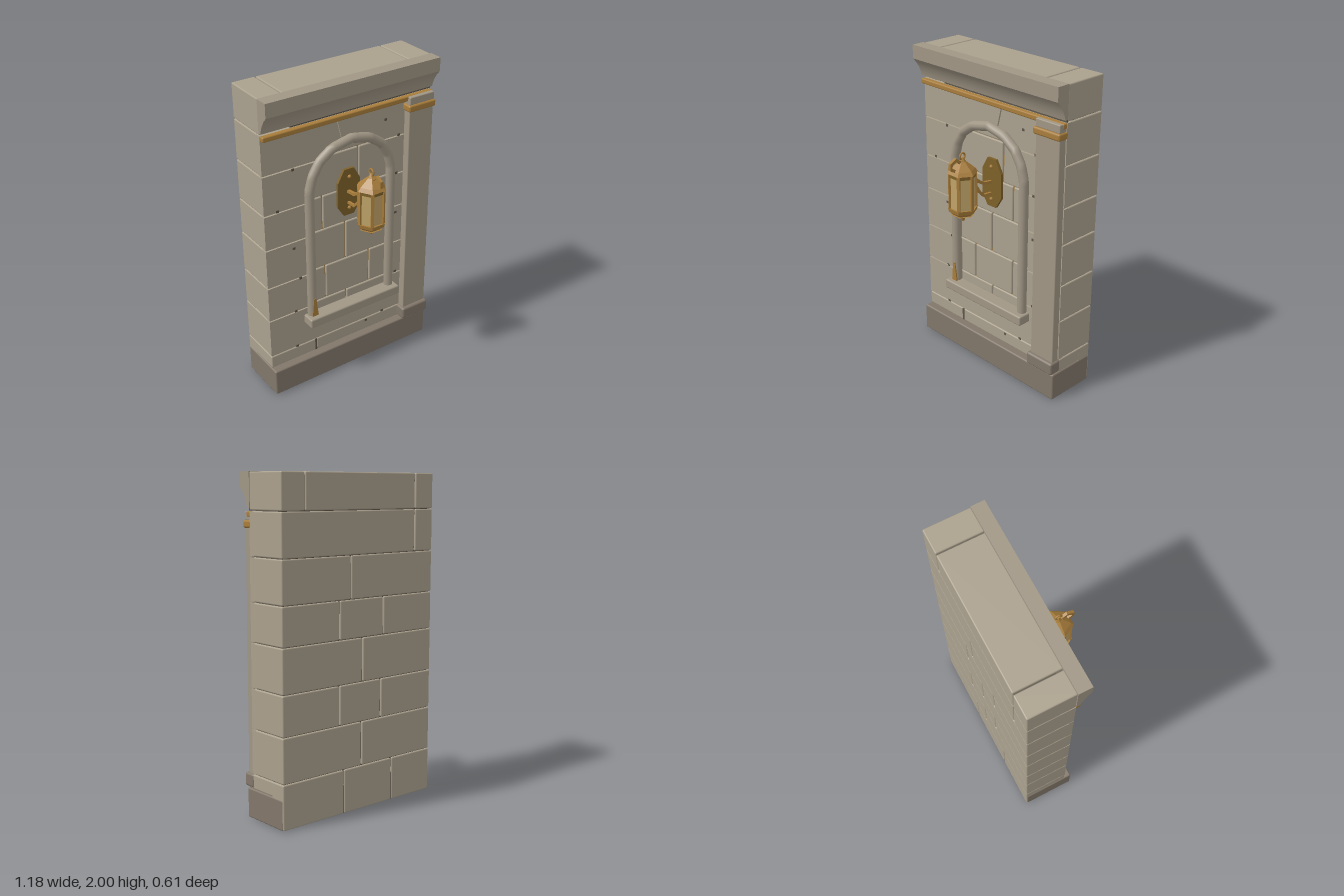
import * as THREE from 'three';
import { RoundedBoxGeometry } from 'three/addons/geometries/RoundedBoxGeometry.js';
import { toCreasedNormals } from 'three/addons/utils/BufferGeometryUtils.js';

const material = (name, color) => {
  const m = new THREE.MeshStandardMaterial({ color });
  m.name = name;
  return m;
};

export function createModel() {
  const stone = material('stone', 0xaaa08d);
  const trim = material('trim stone', 0xa09685);
  const plinthStone = material('plinth stone', 0x82776a);
  const mortar = material('mortar', 0x5d554a);
  const brass = material('brass', 0xa87d3b);
  const darkBrass = material('dark brass', 0x7d6029);
  const glass = material('amber glass', 0xc0a368);

  const model = new THREE.Group();
  model.name = 'wallNiche';
  const L = -0.59, R = 0.585, BACK = -0.305, FACE = -0.018, NICHE = -0.04;

  const add = (name, geo, mat, parent = model) => {
    const mesh = new THREE.Mesh(geo, mat);
    mesh.name = name;
    parent.add(mesh);
    return mesh;
  };
  // Rounded block given by its bounds
  const block = (name, x0, x1, y0, y1, z0, z1, mat, r = 0.007, parent = model) => {
    const g = new RoundedBoxGeometry(x1 - x0, y1 - y0, z1 - z0, 2, r);
    g.translate((x0 + x1) / 2, (y0 + y1) / 2, (z0 + z1) / 2);
    return add(name, g, mat, parent);
  };
  const box = (name, x0, x1, y0, y1, z0, z1, mat, parent = model) => {
    const g = new THREE.BoxGeometry(x1 - x0, y1 - y0, z1 - z0);
    g.translate((x0 + x1) / 2, (y0 + y1) / 2, (z0 + z1) / 2);
    return add(name, g, mat, parent);
  };
  const shapeOf = (pts) => new THREE.Shape(pts.map(([x, y]) => new THREE.Vector2(x, y)));
  const slab = (name, pts, z0, z1, mat, parent = model) => {
    const g = new THREE.ExtrudeGeometry(shapeOf(pts), { depth: z1 - z0, bevelEnabled: false });
    g.translate(0, 0, z0);
    return add(name, g, mat, parent);
  };

  // Masonry running through the wall: [bottom, top, joint positions]
  const rows = [
    [0.27, 0.54, [-0.01]],
    [0.54, 0.78, [-0.165, 0.165]],
    [0.78, 1.045, [-0.015]],
    [1.045, 1.275, [-0.18, 0.165]],
    [1.275, 1.53, [0.08]],
    [1.53, 1.785, [-0.44]],
  ];
  const wall = new THREE.Group();
  wall.name = 'masonry';
  model.add(wall);
  const course = (y0, y1, joints, z0, z1) => {
    const xs = [L, ...joints, R];
    for (let i = 0; i < xs.length - 1; i++) {
      const a = xs[i] + (i ? 0.004 : 0);
      const b = xs[i + 1] - (i < xs.length - 2 ? 0.004 : 0);
      block('wallBlock', a, b, y0 + 0.002, y1 - 0.002, z0, z1, stone, 0.008, wall);
    }
  };
  for (const [y0, y1, joints] of rows) course(y0, y1, joints, BACK, NICHE);
  course(0, 0.27, [-0.26, 0.13], BACK, -0.2);
  course(0.18, 0.27, [-0.26], -0.21, FACE);
  course(1.785, 2, [-0.44, 0.42], BACK, FACE);
  box('mortarCore', L + 0.012, R - 0.012, 0.02, 1.98, BACK + 0.012, NICHE - 0.02, mortar, wall);
  box('nicheBacking', -0.3, 0.3, 0.48, 1.6, NICHE - 0.02, NICHE - 0.012, brass, wall);

  // Front facing, cut away around the arched niche
  const arch = [[0.29, 0.45], [0.29, 1.36], [0.265, 1.45], [0.215, 1.53], [0.13, 1.59], [0, 1.615]];
  const halfWidth = (y) => {
    if (y < 0.45 || y > 1.615) return 0;
    const i = arch.findIndex((p) => p[1] >= y);
    if (i < 1) return arch[0][0];
    const [a, b] = [arch[i - 1], arch[i]];
    return a[0] + ((b[0] - a[0]) * (y - a[1])) / (b[1] - a[1]);
  };
  for (const [y0, y1] of rows) {
    const lo = y0 + 0.004, hi = y1 - 0.004;
    const cuts = [lo, 0.4499, 0.4501, 1.36, 1.45, 1.53, 1.59, 1.615, hi]
      .filter((y) => y >= lo && y <= hi);
    const left = cuts.map((y) => [-halfWidth(y), y]);
    const right = cuts.map((y) => [halfWidth(y), y]).reverse();
    slab('facingLeft', [[L, hi], [L, lo], ...left], NICHE - 0.015, FACE, stone, wall);
    slab('facingRight', [[R, lo], [R, hi], ...right], NICHE - 0.015, FACE, stone, wall);
  }

  // Small chipped corners along the facing joints
  const chips = [[-0.5, 1.285], [-0.4, 1.0], [-0.36, 0.775], [-0.4, 0.545], [0.35, 1.28], [0.35, 1.0],
    [0.36, 0.55], [-0.4, 0.275], [0.26, 0.275], [0.13, 0.25], [-0.39, 1.52], [0.36, 1.535], [0.26, 1.66]];
  for (const [x, y] of chips)
    box('chip', x - 0.009, x + 0.009, y - 0.008, y + 0.008, FACE - 0.004, FACE + 0.001, mortar);
  box('chippedJoint', -0.268, -0.255, 0.185, 0.268, FACE - 0.004, FACE + 0.001, mortar);

  // Plinth
  block('plinth', -0.594, 0.587, 0, 0.18, -0.3, 0.03, plinthStone, 0.01);

  // Cornice with a hollow underside
  const cornicePts = [[-0.02, 2], [-0.02, 1.8], [0, 1.8], [0.006, 1.822], [0.02, 1.855],
    [0.042, 1.89], [0.065, 1.915], [0.065, 2]];
  let cornice = new THREE.ExtrudeGeometry(shapeOf(cornicePts), { depth: 1.18, bevelEnabled: false });
  cornice.rotateY(-Math.PI / 2);
  cornice.translate(0.587, 0, 0);
  add('cornice', toCreasedNormals(cornice, 0.5), trim);
  box('corniceShadowGap', -0.4, R, 1.785, 1.8, FACE - 0.005, FACE + 0.004, mortar);
  block('brassRail', -0.588, R, 1.75, 1.782, -0.022, 0.012, brass, 0.008);

  // Pilaster on one side
  block('pilaster', 0.4, 0.578, 0.18, 1.75, -0.03, 0.03, trim, 0.006);
  block('pilasterFoot', 0.385, 0.59, 0.188, 0.27, -0.03, 0.053, plinthStone, 0.014);
  block('pilasterCap', 0.4, 0.58, 1.73, 1.78, -0.03, 0.034, trim, 0.006);
  block('pilasterBand', 0.388, 0.587, 1.688, 1.732, -0.03, 0.045, brass, 0.012);

  // Arched frame, sill and keystone
  const outline = [...arch.slice(0, -1).map(([x, y]) => [-x - 0.005, y]), [0, 1.62],
    ...arch.slice(0, -1).reverse()];
  const path = new THREE.CurvePath();
  for (let i = 0; i < outline.length - 1; i++) {
    path.add(new THREE.LineCurve3(new THREE.Vector3(...outline[i], 0), new THREE.Vector3(...outline[i + 1], 0)));
  }
  add('archFrame', new THREE.TubeGeometry(path, 90, 0.03, 10, false), trim);
  block('sill', -0.343, 0.335, 0.43, 0.493, -0.03, 0.064, trim, 0.01);
  slab('keystone', [[-0.06, 1.63], [0.06, 1.63], [0.09, 1.75], [-0.09, 1.75]], -0.03, -0.008, stone);
  slab('brassSliver', [[-0.312, 0.493], [-0.268, 0.493], [-0.285, 0.62], [-0.3, 0.62]], 0.024, 0.032, brass);

  // Lantern, hexagonal with corners to the sides
  const lantern = new THREE.Group();
  lantern.name = 'lantern';
  lantern.position.set(-0.005, 0, 0.207);
  model.add(lantern);
  const hex = (name, rTop, rBottom, y0, y1, mat) => {
    const g = new THREE.CylinderGeometry(rTop, rBottom, y1 - y0, 6, 1, false, Math.PI / 6).toNonIndexed();
    g.computeVertexNormals();
    g.translate(0, (y0 + y1) / 2, 0);
    return add(name, g, mat, lantern);
  };
  hex('lanternPanes', 0.078, 0.078, 1.16, 1.39, glass);
  hex('lowerRim', 0.09, 0.084, 1.145, 1.17, brass);
  hex('lowerTaper', 0.08, 0.06, 1.125, 1.145, brass);
  hex('lowerCup', 0.072, 0.022, 1.105, 1.125, brass);
  hex('lowerFinial', 0.018, 0.008, 1.08, 1.107, brass);
  hex('upperRim', 0.084, 0.084, 1.365, 1.39, darkBrass);
  hex('roofEave', 0.075, 0.092, 1.388, 1.41, brass);
  hex('roof', 0.024, 0.075, 1.41, 1.455, brass);
  hex('roofFinial', 0.006, 0.022, 1.455, 1.48, brass);
  for (let i = 0; i < 6; i++) {
    const a = (i * Math.PI) / 3;
    const post = add('cornerPost', new THREE.BoxGeometry(0.016, 0.22, 0.018), brass, lantern);
    post.position.set(0.077 * Math.cos(a), 1.275, 0.077 * Math.sin(a));
    post.rotation.y = -a;
  }
  const ring = add('hangingRing', new THREE.TorusGeometry(0.019, 0.006, 6, 14), brass, lantern);
  ring.position.y = 1.488;
  ring.rotation.y = Math.PI / 2;

  // Bracket: back plate, two arms and a curled hook
  slab('backPlate', [[-0.035, 1.1], [0.035, 1.1], [0.08, 1.17], [0.08, 1.33], [0.035, 1.41],
    [-0.035, 1.41], [-0.08, 1.33], [-0.08, 1.17]], -0.04, -0.022, darkBrass);
  for (const y of [1.15, 1.36]) {
    const rivet = add('rivet', new THREE.SphereGeometry(0.012, 8, 6), brass);
    rivet.position.set(0, y, -0.02);
  }
  const bar = (name, pts, w = 0.018) => {
    for (let i = 0; i < pts.length - 1; i++) {
      const [z0, y0] = pts[i], [z1, y1] = pts[i + 1];
      const len = Math.hypot(z1 - z0, y1 - y0);
      const m = add(name, new THREE.BoxGeometry(w, w, len + w * 0.5), brass);
      m.position.set(-0.005, (y0 + y1) / 2, (z0 + z1) / 2);
      m.rotation.x = -Math.atan2(y1 - y0, z1 - z0);
    }
  };
  bar('upperArm', [[-0.03, 1.26], [0.035, 1.268], [0.07, 1.285], [0.1, 1.31], [0.15, 1.35], [0.2, 1.42]]);
  bar('lowerArm', [[-0.03, 1.185], [0.04, 1.19], [0.075, 1.225], [0.1, 1.265], [0.12, 1.3]], 0.015);
  bar('hook', [[0.2, 1.42], [0.235, 1.46], [0.262, 1.478], [0.298, 1.46], [0.3, 1.43], [0.275, 1.415]]);

  return model;
}
